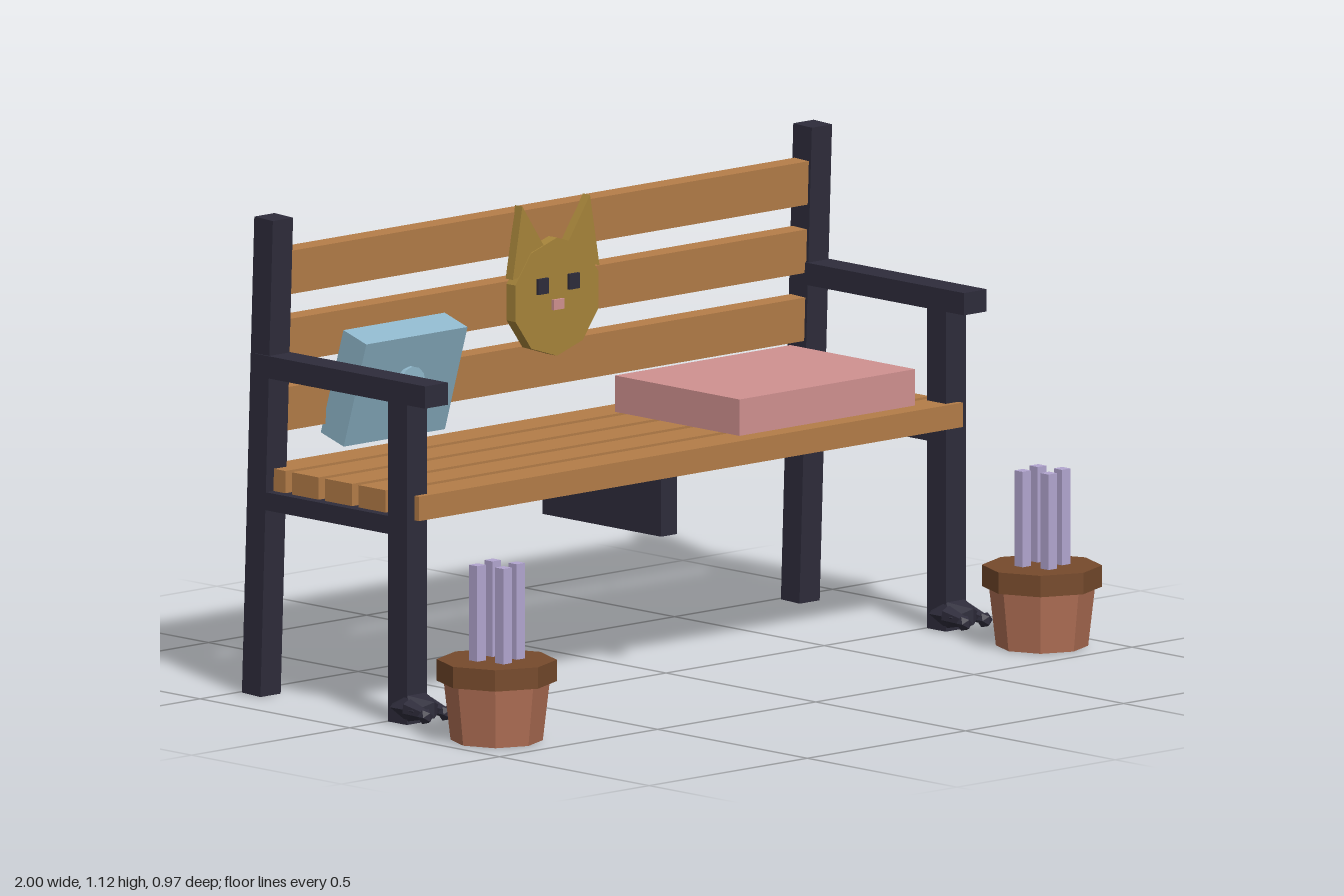
import * as THREE from 'three';

const mat = (name, color, flat = true) => {
  const m = new THREE.MeshStandardMaterial({ color, flatShading: flat });
  m.name = name;
  return m;
};

export function createModel() {
  const iron = mat('dark iron', 0x2e2c3b);
  const wood = mat('warm wood', 0xb47d48);
  const pink = mat('pink fabric', 0xd09190);
  const blue = mat('blue fabric', 0x8fb7cb);
  const gold = mat('gold', 0xa6843a);
  const lavender = mat('lavender', 0xb3a6d0);
  const clay = mat('terracotta', 0xb06f55);
  const brown = mat('brown rim', 0x764a2c);

  const model = new THREE.Group();
  model.name = 'gardenBench';

  const add = (parent, name, geometry, material, x = 0, y = 0, z = 0) => {
    const mesh = new THREE.Mesh(geometry, material);
    mesh.name = name;
    mesh.position.set(x, y, z);
    parent.add(mesh);
    return mesh;
  };
  // Box given by its [min, max] range on each axis
  const box = (parent, name, material, [x0, x1], [y0, y1], [z0, z1]) =>
    add(parent, name, new THREE.BoxGeometry(x1 - x0, y1 - y0, z1 - z0), material,
      (x0 + x1) / 2, (y0 + y1) / 2, (z0 + z1) / 2);

  const lean = 0.037; // forward lean of the backrest

  // Iron side frames with clawed front feet
  for (const s of [-1, 1]) {
    const side = new THREE.Group();
    side.name = s > 0 ? 'leftFrame' : 'rightFrame';
    side.position.x = s * 0.852;
    model.add(side);
    const w = [-0.032, 0.032];
    box(side, 'frontLeg', iron, w, [0, 0.76], [0.006, 0.068]);
    const post = box(side, 'backPost', iron, w, [0, 1.118], [-0.462, -0.4]);
    post.rotation.x = lean;
    box(side, 'armrest', iron, [-0.036, 0.036], [0.748, 0.8], [-0.438, 0.133]);
    box(side, 'seatRail', iron, w, [0.438, 0.48], [-0.438, 0.01]);

    const foot = add(side, 'foot', new THREE.IcosahedronGeometry(1, 0), iron, 0, 0.038, 0.065);
    foot.scale.set(0.055, 0.036, 0.072);
    for (const t of [-1, 1]) {
      add(side, 'toe', new THREE.IcosahedronGeometry(0.019, 0), iron, t * 0.032, 0.028, 0.13);
      const link = add(side, 'toeJoint', new THREE.CylinderGeometry(0.012, 0.022, 0.06, 6), iron,
        t * 0.03, 0.036, 0.102);
      link.rotation.x = Math.PI / 2 + 0.15;
    }
  }

  // Seat slats and the brace under them
  for (let i = 0; i < 5; i++) {
    const z = 0.038 - i * 0.1115;
    box(model, 'seatSlat', wood, [-0.86, 0.86], [0.475, 0.532], [z - 0.045, z + 0.045]);
  }
  box(model, 'centreBrace', iron, [-0.025, 0.025], [0.322, 0.476], [-0.387, 0.01]);

  // Backrest slats
  for (const y of [0.667, 0.827, 0.987]) {
    const z = -0.431 + (y - 0.56) * lean;
    const slat = box(model, 'backSlat', wood, [-0.84, 0.84], [y - 0.051, y + 0.051],
      [z - 0.024, z + 0.024]);
    slat.rotation.x = lean;
  }

  // Flat seat cushion
  box(model, 'seatCushion', pink, [0.2, 0.755], [0.532, 0.617], [-0.382, 0.034]);

  // Leaning pillow with a round button
  const pillow = add(model, 'pillow', new THREE.BoxGeometry(0.32, 0.26, 0.08), blue, -0.533, 0.706, -0.345);
  pillow.rotation.x = -0.295;
  pillow.rotation.x *= -1;
  // tilt so that the top edge comes forward
  const button = add(model, 'pillowButton', new THREE.CylinderGeometry(0.04, 0.04, 0.045, 12), blue,
    -0.533, 0.705, -0.305);
  button.rotation.x = Math.PI / 2;

  // Cat face ornament on the backrest
  const cat = new THREE.Group();
  cat.name = 'catOrnament';
  model.add(cat);
  const head = add(cat, 'catHead', new THREE.CylinderGeometry(0.138, 0.138, 0.03, 10), gold, 0, 0.829, -0.379);
  head.rotation.x = Math.PI / 2;
  for (const s of [-1, 1]) {
    const ear = new THREE.Shape([
      new THREE.Vector2(s * 0.137, 0.885),
      new THREE.Vector2(s * 0.107, 1.053),
      new THREE.Vector2(s * 0.01, 0.91),
    ]);
    add(cat, 'catEar', new THREE.ExtrudeGeometry(ear, { depth: 0.024, bevelEnabled: false }), gold, 0, 0, -0.391);
    add(cat, 'catEye', new THREE.BoxGeometry(0.033, 0.036, 0.009), iron, s * 0.049, 0.86, -0.3605);
  }
  add(cat, 'catNose', new THREE.BoxGeometry(0.034, 0.024, 0.008), pink, 0, 0.812, -0.361);

  // Potted plants in front of the bench
  const stems = [[-0.04, -0.022], [0.027, -0.042], [-0.02, 0.044], [0.043, 0.022]];
  for (const s of [-1, 1]) {
    const pot = new THREE.Group();
    pot.name = s > 0 ? 'leftPlant' : 'rightPlant';
    pot.position.set(s * 0.862, 0, 0.345);
    model.add(pot);
    add(pot, 'potBody', new THREE.CylinderGeometry(0.122, 0.106, 0.138, 8), clay, 0, 0.069, 0);
    add(pot, 'potRim', new THREE.CylinderGeometry(0.138, 0.138, 0.05, 8), brown, 0, 0.163, 0);
    for (const [x, z] of stems) {
      add(pot, 'stem', new THREE.BoxGeometry(0.027, 0.23, 0.027), lavender, x, 0.296, z);
    }
  }
  return model;
}
